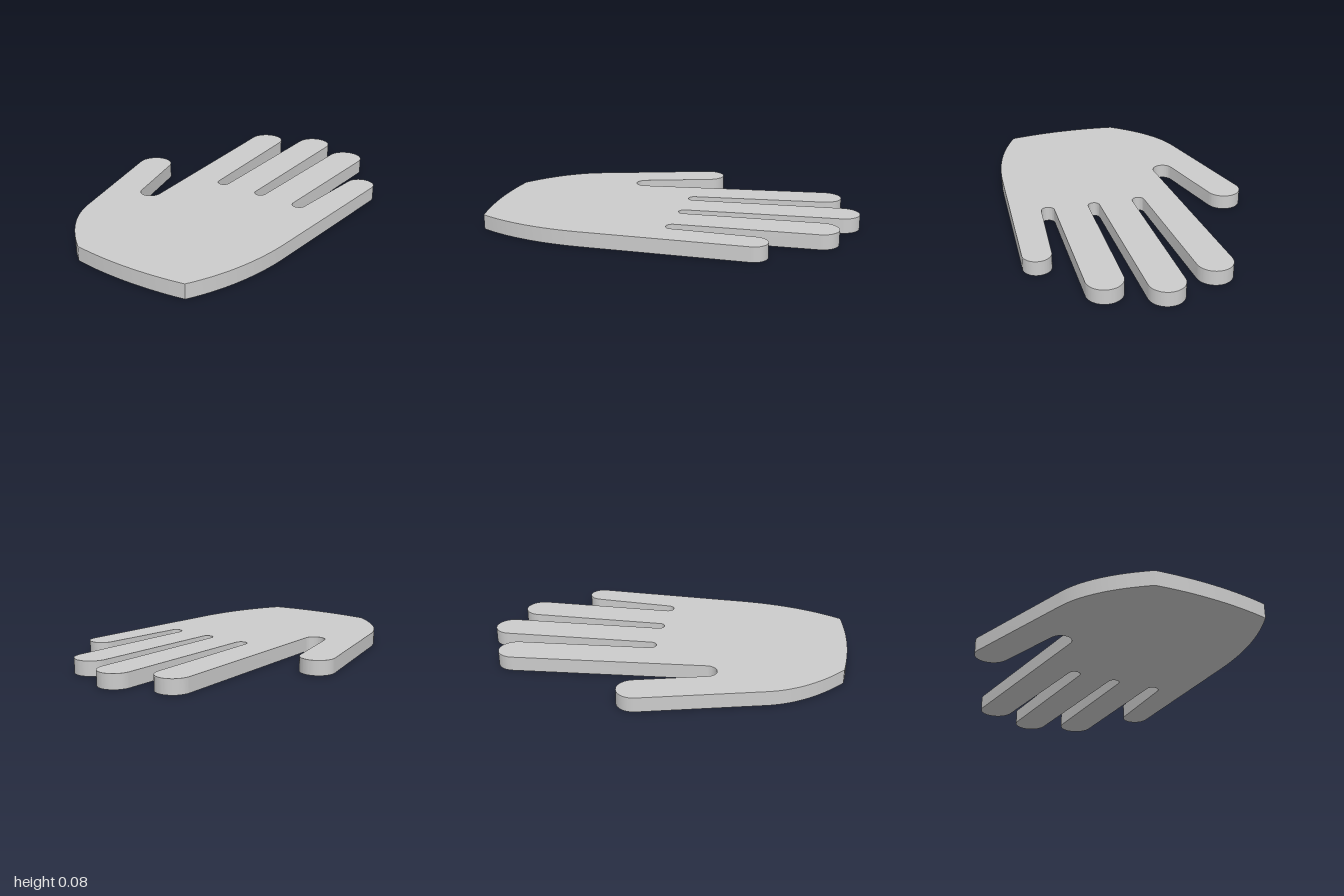
import * as THREE from 'three';
import { toCreasedNormals } from 'three/addons/utils/BufferGeometryUtils.js';

const THICKNESS = 0.08;

// Rounded fingertips: centre x, y (y points towards the tips), radius, tilt
const tips = [
  [-0.573, 0.083, 0.094, 0.235], // thumb
  [-0.23, 0.802, 0.095, 0.045], // index
  [0.055, 0.906, 0.094, 0], // middle
  [0.33, 0.802, 0.095, -0.035], // ring
  [0.588, 0.484, 0.075, -0.08], // little
];

// Rounded gaps between neighbouring fingers: centre x, y, radius
const gaps = [
  [-0.333, -0.257, 0.058],
  [-0.071, 0.08, 0.034],
  [0.181, 0.069, 0.032],
  [0.435, 0.053, 0.036],
];

function handOutline() {
  const s = new THREE.Shape();
  s.moveTo(-0.217, -0.974);
  // heel of the thumb
  s.quadraticCurveTo(-0.455, -0.79, -0.507, -0.585);
  // over each tip, then down and round the gap to the next finger
  tips.forEach(([x, y, r, tilt], i) => {
    s.absarc(x, y, r, Math.PI + tilt, tilt, true);
    if (i < gaps.length) {
      const [gx, gy, gr] = gaps[i];
      s.absarc(gx, gy, gr, Math.PI + tilt, 2 * Math.PI + tips[i + 1][3], false);
    }
  });
  // outer edge of the palm and the slightly bowed wrist
  s.lineTo(0.607, -0.38);
  s.quadraticCurveTo(0.585, -0.72, 0.432, -0.974);
  s.quadraticCurveTo(0.108, -1.026, -0.217, -0.974);
  return s;
}

export function createModel() {
  const group = new THREE.Group();
  group.name = 'flatHand';

  // Flat plate laid down so that the fingers point to -z
  const plate = new THREE.ExtrudeGeometry(handOutline(), {
    depth: THICKNESS,
    bevelEnabled: false,
    curveSegments: 20,
  });
  plate.rotateX(-Math.PI / 2);

  const hand = new THREE.Mesh(
    toCreasedNormals(plate, 0.5),
    new THREE.MeshStandardMaterial({ color: 0xcccccc })
  );
  hand.name = 'hand';
  group.add(hand);
  return group;
}
